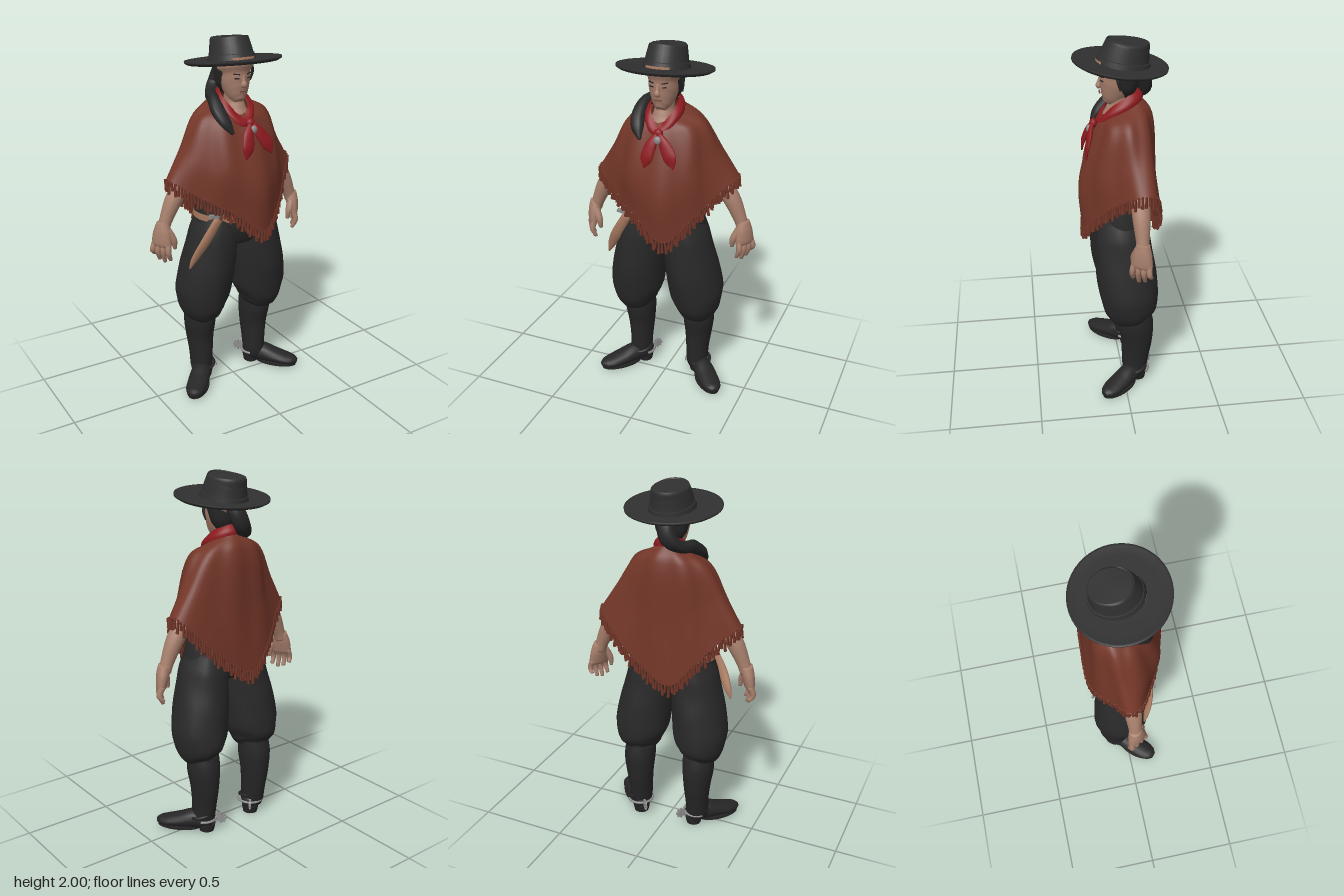
import * as THREE from 'three';
import { mergeGeometries } from 'three/addons/utils/BufferGeometryUtils.js';

const V = (x, y, z) => new THREE.Vector3(x, y, z);
const paint = (name, color, side = THREE.FrontSide) => {
  const m = new THREE.MeshStandardMaterial({ color, side });
  m.name = name;
  return m;
};

// Surface closed around u, open along v
function surface(fn, nu, nv) {
  const pos = [], idx = [];
  for (let j = 0; j <= nv; j++)
    for (let i = 0; i < nu; i++) pos.push(...fn(i / nu, j / nv, j).toArray());
  for (let j = 0; j < nv; j++)
    for (let i = 0; i < nu; i++) {
      const a = j * nu + i, b = j * nu + (i + 1) % nu, c = a + nu, d = b + nu;
      idx.push(a, b, c, b, d, c);
    }
  const g = new THREE.BufferGeometry();
  g.setAttribute('position', new THREE.Float32BufferAttribute(pos, 3));
  g.setIndex(idx);
  g.computeVertexNormals();
  return g;
}

// Capped sweep through sections [x, y, z, radiusX, radiusOther], with optional folds
function sweep(sections, sides = 16, steps = sections.length * 4, folds = 0) {
  const path = new THREE.CatmullRomCurve3(sections.map(s => V(s[0], s[1], s[2])));
  const radii = new THREE.CatmullRomCurve3(sections.map(s => V(s[3], s[4], 0)));
  const rows = steps + 2;
  return surface((u, v, j) => {
    const t = Math.min(1, Math.max(0, (j - 1) / steps)), a = u * Math.PI * 2;
    const c = path.getPoint(t);
    if (j === 0 || j === rows) return c;
    const r = radii.getPoint(t), T = path.getTangent(t);
    const S = V(1, 0, 0).addScaledVector(T, -T.x).normalize();
    const B = T.clone().cross(S);
    const k = 1 + folds * Math.sin(a * 6 + t * 9);
    return c.addScaledVector(S, Math.cos(a) * r.x * k).addScaledVector(B, Math.sin(a) * r.y * k);
  }, sides, rows);
}

export function createModel() {
  const model = new THREE.Group();
  const ponchoMat = paint('rust wool', 0x733628, THREE.DoubleSide);
  const hatMat = paint('black felt', 0x303030);
  const hairMat = paint('black hair', 0x262626);
  const pantsMat = paint('charcoal cloth', 0x292929);
  const bootMat = paint('black leather', 0x262626);
  const skin = paint('skin', 0xa67e6b);
  const lips = paint('lips', 0x7c5144);
  const scarfMat = paint('red cotton', 0x8c1a1f, THREE.DoubleSide);
  const leather = paint('tan leather', 0xa87a60);
  const metal = paint('steel', 0x8c8c8c);
  const add = (name, geo, mat, parent = model) => {
    const m = new THREE.Mesh(geo, mat);
    m.name = name;
    parent.add(m);
    return m;
  };
  const group = (name, x, y, z) => {
    const g = new THREE.Group();
    g.name = name;
    g.position.set(x, y, z);
    model.add(g);
    return g;
  };
  const box = (w, h, d, x, y, z) => new THREE.BoxGeometry(w, h, d).translate(x, y, z);

  // Shirt, neck and head
  add('shirt', sweep([[0, 1.05, 0, .19, .12], [0, 1.3, 0, .17, .11], [0, 1.48, -.02, .18, .1], [0, 1.55, -.02, .13, .08]], 24), ponchoMat);
  add('neck', sweep([[0, 1.52, .01, .1, .095], [0, 1.58, .01, .088, .088], [0, 1.62, .008, .062, .07], [0, 1.66, .005, .053, .058], [0, 1.72, .01, .052, .055]]), skin);
  add('head', sweep([[0, 1.663, .065, .024, .03], [0, 1.685, .05, .047, .053], [0, 1.72, .032, .064, .077],
    [0, 1.76, .018, .076, .09], [0, 1.81, .01, .08, .097], [0, 1.86, 0, .08, .097], [0, 1.89, 0, .06, .07]], 24), skin);
  add('nose', sweep([[0, 1.808, .1, .008, .007], [0, 1.775, .106, .011, .011], [0, 1.756, .11, .017, .015], [0, 1.745, .103, .012, .01]], 10), skin);
  add('mouth', box(.04, .008, .008, 0, 1.722, .105), lips);
  for (const s of [1, -1]) {
    const eye = add('eye', box(.024, .006, .008, 0, 0, 0), hairMat);
    eye.position.set(s * .034, 1.79, .096);
    eye.rotation.y = s * .35;
    const brow = add('eyebrow', box(.034, .005, .008, 0, 0, 0), hairMat);
    brow.position.set(s * .036, 1.812, .097);
    brow.rotation.set(0, s * .35, s * .12);
  }

  // Hair and ponytail over the right shoulder
  add('hair', sweep([[0, 1.7, -.04, .05, .035], [0, 1.75, -.032, .084, .064], [0, 1.81, -.022, .096, .08], [0, 1.85, -.014, .097, .092], [0, 1.88, -.012, .095, .096]], 28), hairMat);
  add('ponytail', sweep([[0, 1.86, -.08, .05, .04], [-.01, 1.79, -.12, .05, .042], [-.035, 1.725, -.13, .046, .036],
    [-.085, 1.685, -.085, .034, .032], [-.115, 1.672, -.01, .03, .034], [-.125, 1.62, .065, .038, .03], [-.11, 1.57, .112, .034, .024], [-.085, 1.515, .145, .008, .008]], 16, 36, .05), hairMat);
  add('templeStrand', sweep([[.09, 1.86, .03, .01, .012], [.106, 1.8, .02, .007, .009], [.1, 1.755, .01, .003, .004]], 8), hairMat);

  // Wide-brimmed hat, raised at the front
  const hat = group('hat', 0, 1.865, -.001);
  hat.rotation.x = -.12;
  const brim = [[0, -.01], [.2, -.01], [.24, -.008], [.257, .002], [.257, .012], [.245, .01], [.2, .004], [0, .004]];
  add('brim', new THREE.LatheGeometry(brim.map(p => new THREE.Vector2(...p)), 48).scale(1, 1, .965), hatMat, hat);
  add('crown', sweep([[0, 0, -.016, .12, .138], [0, .03, -.018, .113, .131], [0, .09, -.026, .102, .117],
    [0, .115, -.03, .096, .111], [0, .122, -.03, .086, .1]], 32), hatMat, hat);
  add('hatBand', sweep([[0, 0, -.016, .124, .142], [0, .032, -.018, .117, .135]], 32), hatMat, hat);
  add('bandOrnament', new THREE.CylinderGeometry(1, 1, .013, 12, 1, true, -.55, 1.1).scale(.125, 1, .143).translate(0, .015, -.016), leather, hat);

  // Poncho: neck, shoulder, body and hem rings joined by curves
  const hem = new THREE.CatmullRomCurve3([
    [.07, .97, .215], [.2, 1.09, .145], [.30, 1.21, .045], [.385, 1.285, -.05], [.378, 1.285, -.13], [.25, 1.15, -.185], [.1, 1.02, -.2],
    [-.06, .94, -.2], [-.2, 1.08, -.162], [-.31, 1.2, -.09], [-.39, 1.265, -.04], [-.385, 1.265, .02], [-.25, 1.175, .11], [-.11, 1.095, .178],
  ].map(p => V(...p)), true);
  const ponchoPoint = (u, v) => {
    const end = hem.getPoint((1 - u) % 1), a = Math.atan2(end.x / .39, end.z / .2);
    const s = Math.sin(a), c = Math.cos(a);
    const neck = V(.075 * s, 1.65 - .045 * c, -.01 + .095 * c);
    const shoulder = V(.205 * s, 1.592 - .028 * c, -.02 + .138 * c);
    const mid = shoulder.clone().lerp(end, .55);
    mid.z += .05 * Math.max(0, c);
    const p = new THREE.CatmullRomCurve3([neck, shoulder, mid, end]).getPoint(v);
    const fold = .006 * v * (1 - v) * 4 * Math.sin(a * 9);
    return p.add(V(s * fold, 0, c * fold));
  };
  add('poncho', surface(ponchoPoint, 96, 20), ponchoMat);

  // Fringe hanging from the hem
  const tassels = [];
  for (let i = 0; i < 120; i++) {
    const p = hem.getPointAt(i / 120), len = .062 + .014 * Math.sin(i * 2.7);
    tassels.push(new THREE.CylinderGeometry(.006, .009, len, 5).rotateZ(.15 * Math.sin(i * 1.9)).translate(p.x, p.y - len / 2 + .008, p.z));
  }
  add('fringe', mergeGeometries(tassels), ponchoMat);

  // Neckerchief with knot, slide and two tails
  add('neckerchief', surface((u, v) => {
    const a = -u * Math.PI * 2, c = Math.cos(a), bulge = .012 * Math.sin(v * Math.PI);
    const front = Math.max(0, c) ** 3 * .045;
    return V((.07 + .032 * v + bulge) * Math.sin(a), 1.69 - .052 * c - front - v * .055, .005 + (.088 + .036 * v + bulge) * c);
  }, 40, 8), scarfMat);
  add('knot', new THREE.SphereGeometry(1, 14, 10).scale(.026, .026, .02).translate(.02, 1.56, .142), scarfMat);
  add('slide', new THREE.SphereGeometry(1, 12, 8).scale(.021, .023, .015).translate(.025, 1.53, .165), metal);
  add('rightTail', sweep([[.015, 1.56, .15, .012, .01], [-.01, 1.5, .175, .032, .014], [-.025, 1.44, .195, .034, .01], [-.038, 1.385, .2, .004, .004]], 12), scarfMat);
  add('leftTail', sweep([[.03, 1.56, .15, .012, .01], [.07, 1.5, .168, .034, .014], [.1, 1.45, .183, .036, .01], [.122, 1.395, .19, .004, .004]], 12), scarfMat);

  // Trousers seat, belt on the knife side, and knife
  add('trouserSeat', sweep([[0, 1.14, 0, .215, .145], [0, 1.0, 0, .235, .15], [0, .91, -.005, .21, .13], [0, .875, -.01, .1, .08]], 32), pantsMat);
  add('belt', new THREE.CylinderGeometry(1, 1, .038, 32, 1, true, -2.7, 2.45).scale(.238, 1, .157).rotateX(.12).translate(0, 1.062, 0), leather);
  add('sheath', sweep([[-.17, 1.06, .135, .026, .014], [-.245, .93, .115, .03, .014], [-.292, .84, .088, .022, .012], [-.316, .785, .075, .005, .005]], 12), leather);
  add('knifeGuard', box(.09, .016, .024, 0, 0, 0).rotateZ(-.2).translate(-.18, 1.078, .138), metal);
  add('knifeHandle', sweep([[-.17, 1.075, .138, .013, .012], [-.14, 1.15, .135, .015, .013]], 10), hairMat);

  for (const s of [1, -1]) {
    const side = s > 0 ? 'left' : 'right', flip = rows => rows.map(r => [r[0] * s, ...r.slice(1)]);

    // Baggy trouser leg gathered at the cuff, and boot shaft
    add(side + 'TrouserLeg', sweep(flip([[.115, 1.05, 0, .1, .13], [.13, .94, 0, .13, .15], [.143, .84, -.004, .14, .157], [.163, .72, -.015, .148, .165],
      [.18, .6, -.03, .153, .16], [.187, .52, -.04, .133, .152], [.184, .47, -.05, .112, .13], [.18, .44, -.06, .085, .095]]), 28, 36, .018), pantsMat);
    add(side + 'BootShaft', sweep(flip([[.18, .47, -.06, .086, .09], [.184, .39, -.068, .089, .1], [.182, .29, -.075, .078, .09],
      [.18, .18, -.068, .066, .08], [.182, .09, -.062, .062, .07], [.188, .05, -.06, .052, .056]]), 20), bootMat);

    // Turned-out foot with sole, heel and strap
    const foot = group(side + 'Foot', s > 0 ? .195 : -.18, 0, s > 0 ? -.06 : -.045);
    foot.rotation.y = s * .72;
    add('shoe', sweep([[0, .055, -.07, .035, .035], [0, .064, -.04, .05, .052], [0, .066, .04, .056, .056], [0, .053, .12, .06, .042],
      [0, .042, .19, .057, .033], [0, .038, .235, .043, .026], [0, .036, .26, .018, .014]], 18), bootMat, foot);
    add('sole', new THREE.CylinderGeometry(1, 1, .016, 28).scale(.06, 1, .125).translate(0, .018, .13), bootMat, foot);
    add('heel', new THREE.CylinderGeometry(.05, .042, .042, 16).translate(0, .021, -.03), bootMat, foot);
    add('ankleStrap', new THREE.TorusGeometry(.064, .009, 8, 28).rotateX(Math.PI / 2 + .25).translate(0, .098, -.003), bootMat, foot);

    // Spur: heel band, shank and spiked wheel
    add('spurBand', new THREE.TorusGeometry(.073, .007, 8, 24, Math.PI).rotateX(-Math.PI / 2).translate(0, .078, -.012), metal, foot);
    add('spurShank', box(.014, .014, .03, 0, .08, -.094), metal, foot);
    const spikes = [0, 1, 2, 3].map(i => box(.01, .062, .012, 0, 0, 0).rotateX(i * Math.PI / 4));
    spikes.push(new THREE.CylinderGeometry(.021, .021, .012, 12).rotateZ(Math.PI / 2));
    add('spurWheel', mergeGeometries(spikes).translate(0, .082, -.112), metal, foot);

    // Arm, with the right one carried slightly further forward
    const z = s > 0 ? -.065 : -.005;
    add(side + 'Arm', sweep(flip([[.17, 1.5, -.03, .05, .05], [.235, 1.36, z, .052, .052], [.315, 1.235, z, .05, .05],
      [.365, 1.16, z, .047, .047], [.415, 1.05, z, .035, .035], [.428, 1.01, z, .033, .035]]), 16), skin);

    // Hand turned palm-back, with curled fingers and thumb
    const hand = group(side + 'Hand', s * .43, 1.03, z);
    hand.rotation.set(0, -s * .55, s * .1);
    hand.scale.set(1.25, 1, 1.2);
    add('palm', sweep([[0, .02, 0, .027, .029], [s * .004, -.04, 0, .028, .045], [s * .006, -.1, 0, .022, .05], [s * .004, -.115, 0, .014, .044]], 14), skin, hand);
    for (let i = 0; i < 4; i++) {
      const fz = -.04 + i * .026, len = [.165, .19, .2, .185][i];
      add('finger', sweep([[s * .005, -.09, fz * .9, .014, .014], [s * .012, -.14, fz * 1.05, .013, .013], [s * -.006, -len, fz * 1.1, .008, .009]], 8), skin, hand);
    }
    add('thumb', sweep([[0, -.02, .025, .017, .017], [-s * .015, -.075, .047, .016, .016], [-s * .025, -.125, .05, .008, .008]], 8), skin, hand);
  }
  return model;
}
